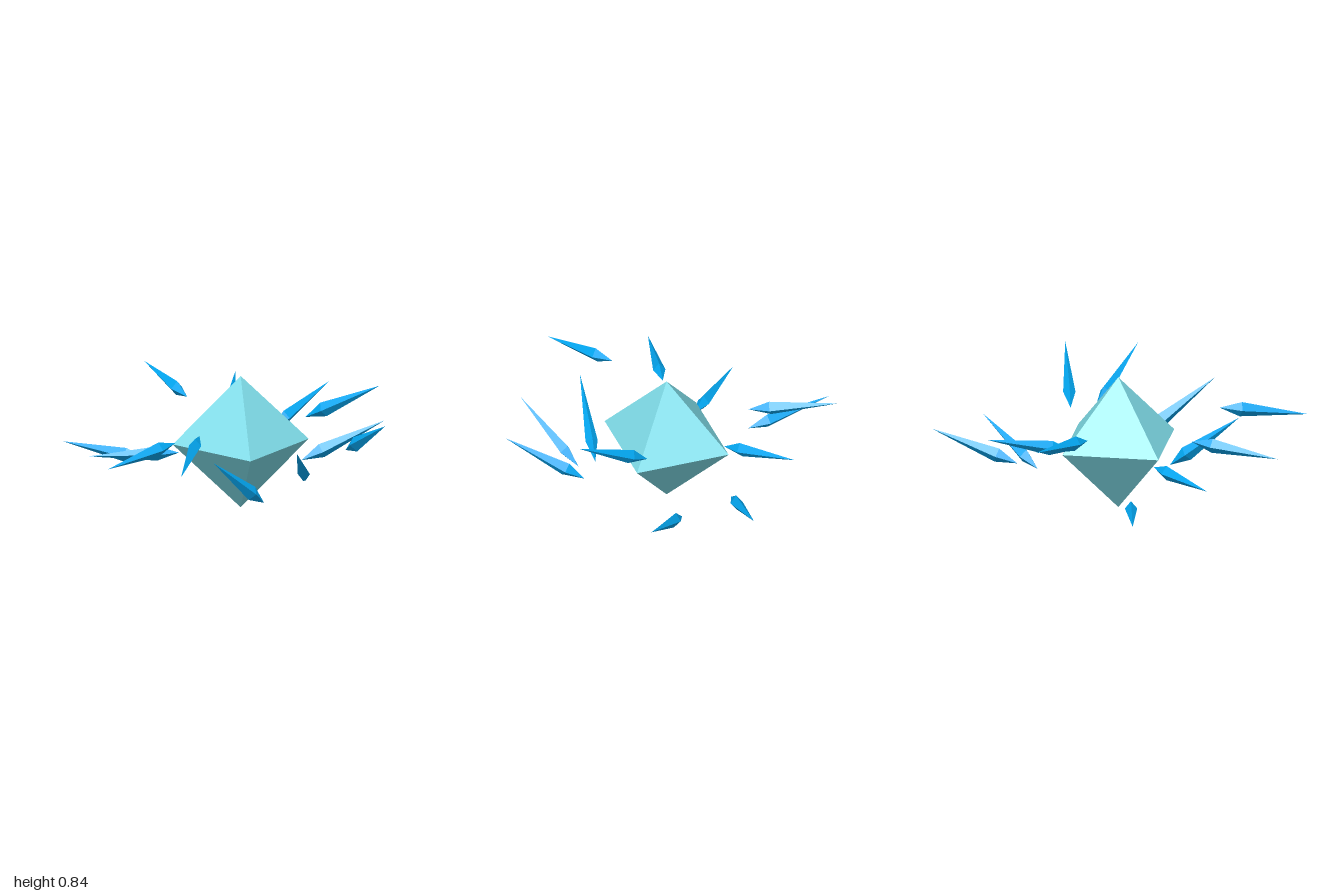
import * as THREE from 'three';

// Each shard: inner end, then outer tip
const SHARDS = [
  [[-0.51, 0.24, -0.35], [-0.98, 0.28, -0.67]],
  [[-0.24, 0.59, -0.48], [-0.43, 0.67, -1.0]],
  [[0.0, 0.45, -0.43], [0.13, 0.59, -0.97]],
  [[0.30, 0.32, -0.62], [0.71, 0.50, -0.97]],
  [[0.45, 0.19, -0.36], [0.97, 0.41, -0.40]],
  [[0.44, 0.54, -0.12], [0.86, 0.80, 0.14]],
  [[0.64, 0.42, 0.21], [0.82, 0.70, 0.66]],
  [[0.37, 0.29, 0.38], [0.25, 0.60, 0.83]],
  [[0.11, 0.16, 0.39], [-0.24, 0.51, 0.66]],
  [[-0.30, 0.63, 0.47], [-0.49, 0.535, 1.0]],
  [[-0.41, 0.50, 0.18], [-0.87, 0.45, 0.50]],
  [[-0.35, 0.365, -0.06], [-0.91, 0.365, -0.06]],
];

// Long four-sided spike, widest a quarter of the way from its inner end
function shardGeometry(length) {
  const geometry = new THREE.OctahedronGeometry(1);
  const p = geometry.attributes.position;
  for (let i = 0; i < p.count; i++) {
    const y = p.getY(i);
    p.setXYZ(i, p.getX(i) * 0.038, length * (y > 0 ? 0.24 + 0.76 * y : 0.24 + 0.24 * y), p.getZ(i) * 0.046);
  }
  geometry.computeVertexNormals();
  return geometry;
}

export function createModel() {
  const group = new THREE.Group();
  const coreMaterial = new THREE.MeshStandardMaterial({ color: 0x80deea, flatShading: true });
  const shardMaterial = new THREE.MeshStandardMaterial({ color: 0x03a9f4, flatShading: true });

  // Central crystal
  const core = new THREE.Mesh(new THREE.OctahedronGeometry(0.42), coreMaterial);
  core.name = 'coreCrystal';
  core.position.set(0.03, 0.42, -0.055);
  group.add(core);

  // Ring of shards pointing outwards
  const ring = new THREE.Group();
  ring.name = 'shardRing';
  const up = new THREE.Vector3(0, 1, 0);
  SHARDS.forEach(([inner, outer], i) => {
    const start = new THREE.Vector3(...inner);
    const along = new THREE.Vector3(...outer).sub(start);
    const shard = new THREE.Mesh(shardGeometry(along.length()), shardMaterial);
    along.normalize();
    const side = new THREE.Vector3().crossVectors(along, up).normalize();
    const ridge = new THREE.Vector3().crossVectors(side, along);
    shard.quaternion.setFromRotationMatrix(new THREE.Matrix4().makeBasis(side, along, ridge));
    shard.position.copy(start);
    shard.name = `shard${i + 1}`;
    ring.add(shard);
  });
  group.add(ring);
  return group;
}
